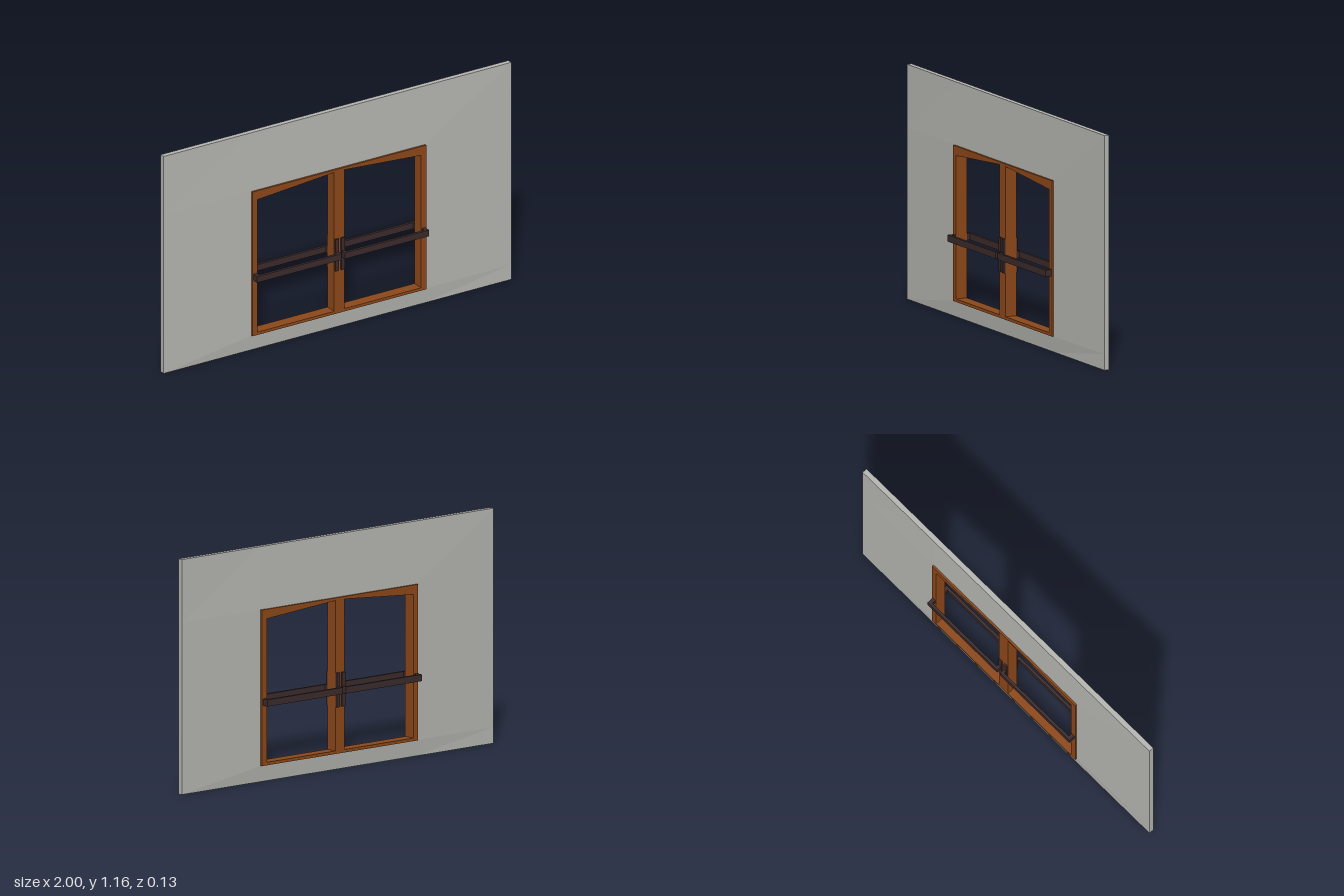
import * as THREE from 'three';

const mat = (name, color) => {
  const m = new THREE.MeshStandardMaterial({ color });
  m.name = name;
  return m;
};

function named(name, geometry, material) {
  const mesh = new THREE.Mesh(geometry, material);
  mesh.name = name;
  return mesh;
}

// Box given by its lower and upper corners
function block(name, [x0, y0, z0], [x1, y1, z1], material) {
  const g = new THREE.BoxGeometry(x1 - x0, y1 - y0, z1 - z0);
  g.translate((x0 + x1) / 2, (y0 + y1) / 2, (z0 + z1) / 2);
  return named(name, g, material);
}

// Wall slab: 3 x 3 panels, a little thicker around the open middle panel
function wallGeometry() {
  const xs = [-1, -0.5, 0.5, 1], ys = [0, 0.08, 0.85, 1.16];
  const box = new THREE.BoxGeometry(3, 3, 1, 3, 3, 1);
  const p = box.attributes.position;
  const index = box.index.array, kept = [];
  for (let t = 0; t < index.length; t += 3) {
    const tri = [index[t], index[t + 1], index[t + 2]];
    const middle = tri.every(v => Math.abs(p.getX(v)) < 1 && Math.abs(p.getY(v)) < 1);
    if (!middle) kept.push(...tri);
  }
  for (let v = 0; v < p.count; v++) {
    const i = Math.round(p.getX(v) + 1.5), j = Math.round(p.getY(v) + 1.5);
    const inner = i % 3 !== 0 && j % 3 !== 0;
    p.setXYZ(v, xs[i], ys[j], Math.sign(p.getZ(v)) * (inner ? 0.02 : 0.013));
  }
  box.setIndex(kept);
  const flat = box.toNonIndexed();
  flat.computeVertexNormals();
  return flat;
}

// One leaf frame with a sloping head; side is +1 or -1
function leafGeometry(side) {
  const outline = pts => pts.map(([x, y]) => new THREE.Vector2(x * side, y));
  const shape = new THREE.Shape(outline([[0, 0.08], [0.5, 0.08], [0.5, 0.85], [0, 0.85]]));
  shape.holes.push(new THREE.Path(outline([[0.03, 0.095], [0.03, 0.837], [0.47, 0.803], [0.47, 0.095]])));
  const g = new THREE.ExtrudeGeometry(shape, { depth: 0.06, bevelEnabled: false });
  return g.translate(0, 0, -0.03);
}

export function createModel() {
  const wallGrey = mat('wall grey', 0xb4b4b0);
  const wood = mat('brown wood', 0x8b4719);
  const darkMetal = mat('dark metal', 0x3b2a2b);

  const model = new THREE.Group();
  model.name = 'wallWithDoubleWindow';
  model.add(named('wall', wallGeometry(), wallGrey));

  for (const side of [-1, 1]) {
    const leaf = new THREE.Group();
    leaf.name = side > 0 ? 'leftLeaf' : 'rightLeaf';
    leaf.add(named('leafFrame', leafGeometry(side), wood));

    // Fittings on both faces of the leaf
    for (const face of [-1, 1]) {
      const part = (name, x0, x1, y0, y1, z0, z1) => {
        const xs = [x0 * side, x1 * side].sort((a, b) => a - b);
        const zs = [z0 * face, z1 * face].sort((a, b) => a - b);
        leaf.add(block(name, [xs[0], y0, zs[0]], [xs[1], y1, zs[1]], darkMetal));
      };
      part('handlePlate', 0.007, 0.028, 0.31, 0.48, 0.029, 0.038);
      part('pushBar', 0.01, 0.495, 0.378, 0.411, 0.05, 0.064);
      part('innerBracket', 0.01, 0.026, 0.378, 0.411, 0.029, 0.05);
      part('outerBracket', 0.475, 0.495, 0.378, 0.411, 0.029, 0.05);
    }
    model.add(leaf);
  }
  return model;
}
